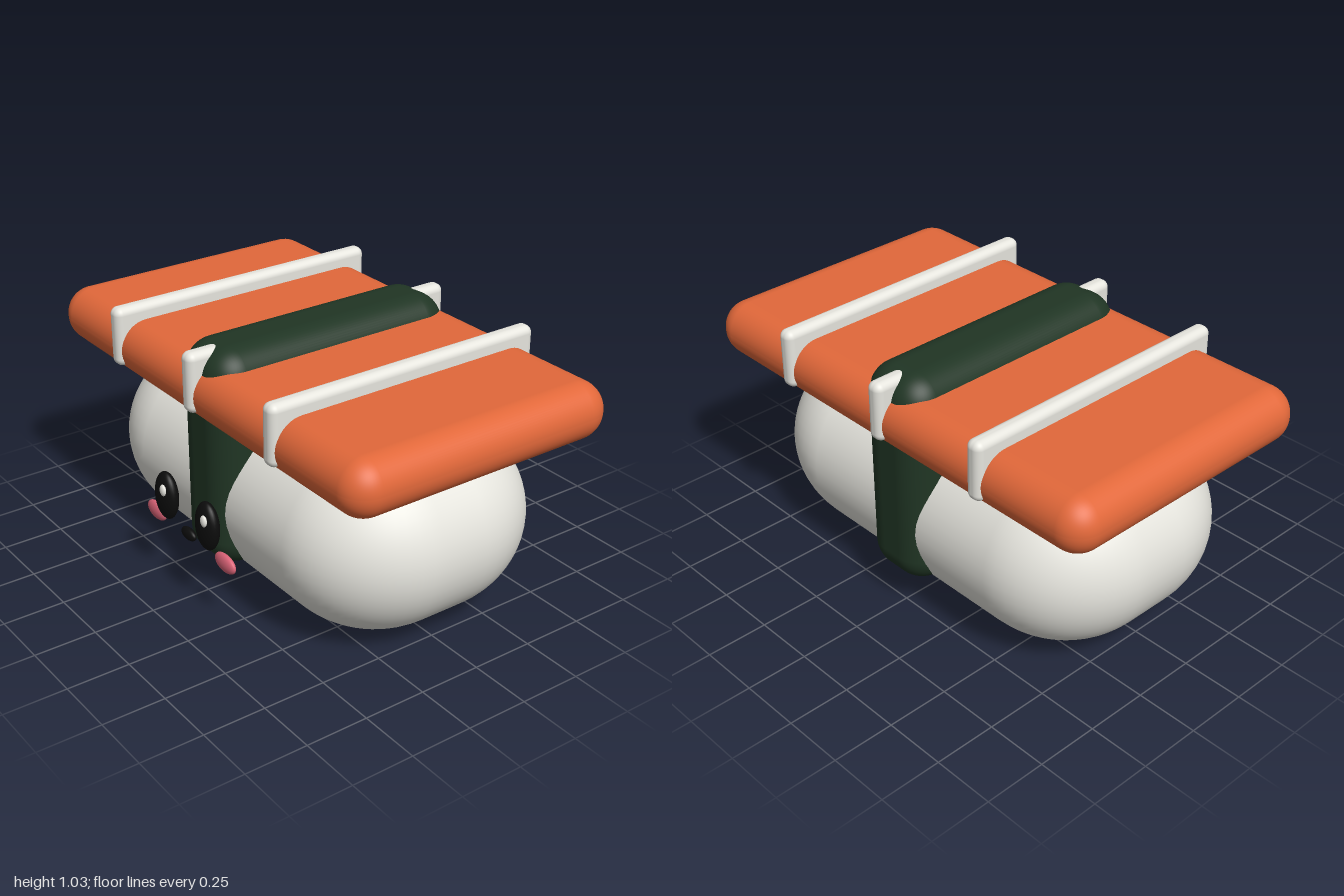
import * as THREE from 'three';
import { RoundedBoxGeometry } from 'three/addons/geometries/RoundedBoxGeometry.js';

const paint = (name, color) => {
  const m = new THREE.MeshStandardMaterial({ color });
  m.name = name;
  return m;
};

export function createModel() {
  const rice = paint('rice white', 0xe6e5de);
  const salmon = paint('salmon orange', 0xe2683a);
  const nori = paint('seaweed green', 0x203524);
  const black = paint('black', 0x0c0c0c);
  const pink = paint('cheek pink', 0xdc6478);

  const root = new THREE.Group();
  root.name = 'sushi';

  const add = (name, geometry, material, x, y, z) => {
    const mesh = new THREE.Mesh(geometry, material);
    mesh.name = name;
    mesh.position.set(x, y, z);
    root.add(mesh);
  };

  // Rounded box whose edge radius may differ along each axis
  const softBox = (w, h, d, rx, ry = rx, rz = rx) =>
    new RoundedBoxGeometry(w / rx, h / ry, d / rz, 8, 1).scale(rx, ry, rz);

  const ellipsoid = (rx, ry, rz) => new THREE.SphereGeometry(1, 32, 20).scale(rx, ry, rz);

  // Body, topping and the seaweed band that runs through both
  add('riceBody', softBox(1.8, 0.77, 1.03, 0.42, 0.385, 0.42), rice, 0, 0.39, -0.025);
  add('salmonSlab', softBox(2, 0.225, 1.16, 0.11), salmon, 0, 0.853, -0.025);
  add('seaweedBand', softBox(0.32, 0.895, 1.085, 0.12), nori, 0, 0.587, -0.023);

  // Pale stripes across the topping
  for (const x of [-0.515, 0, 0.515]) {
    add('salmonStripe', softBox(0.07, 0.24, 1.19, 0.03), rice, x, 0.908, -0.025);
  }

  // Face
  for (const s of [-1, 1]) {
    add('eye', ellipsoid(0.065, 0.1, 0.037), black, s * 0.143, 0.388, 0.583);
    add('eyeHighlight', ellipsoid(0.018, 0.024, 0.011), rice, s * 0.143 + 0.022, 0.427, 0.612);
    add('cheek', ellipsoid(0.065, 0.037, 0.019), pink, s * 0.242, 0.273, 0.572);
  }
  add('nose', ellipsoid(0.046, 0.025, 0.018), black, 0, 0.284, 0.578);

  return root;
}
